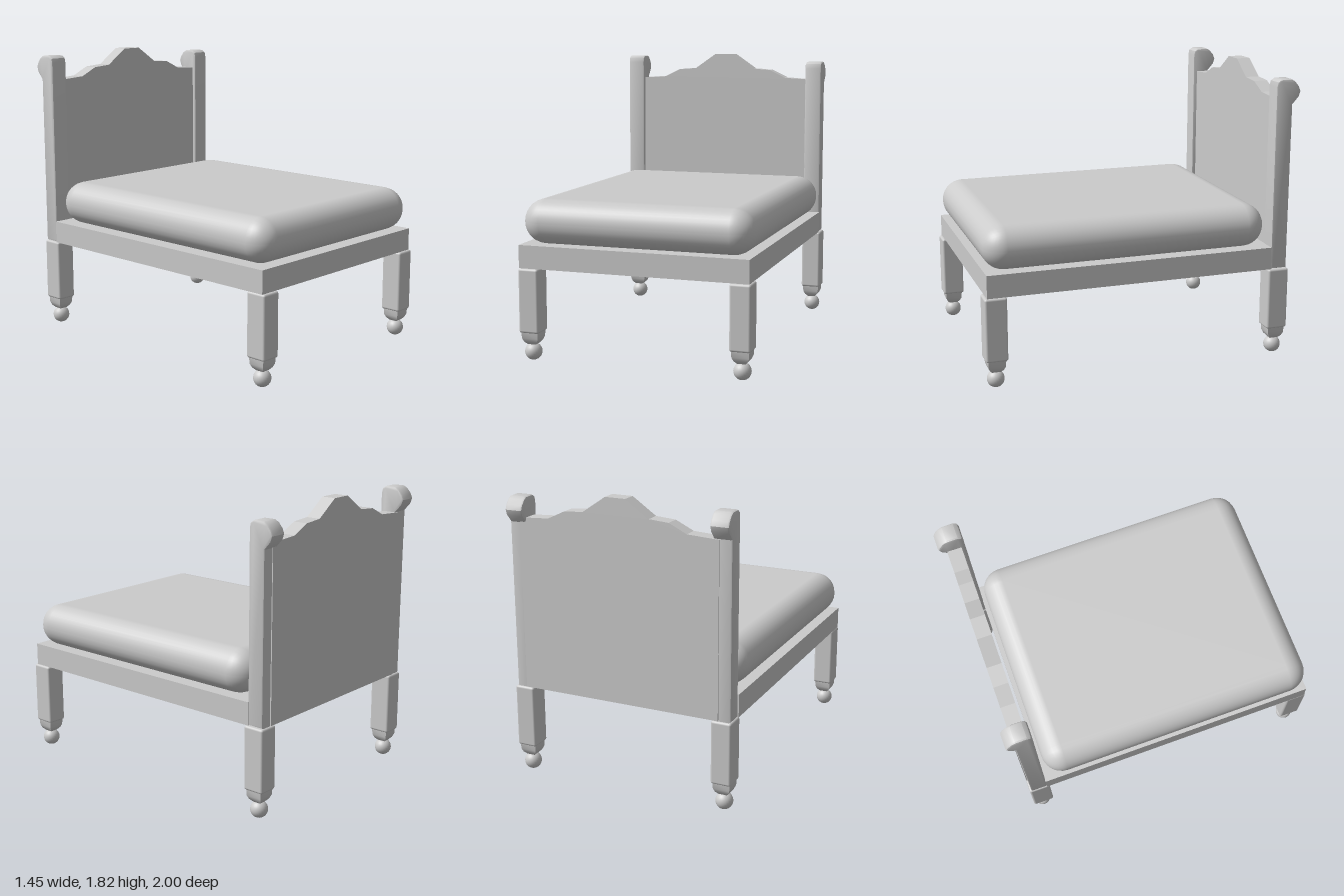
import * as THREE from 'three';
import { toCreasedNormals } from 'three/addons/utils/BufferGeometryUtils.js';
import { RoundedBoxGeometry } from 'three/addons/geometries/RoundedBoxGeometry.js';

const material = new THREE.MeshStandardMaterial({ color: 0xcccccc });

function part(name, geometry, x = 0, y = 0, z = 0) {
  const mesh = new THREE.Mesh(geometry, material);
  mesh.name = name;
  mesh.position.set(x, y, z);
  return mesh;
}

const toShape = (points) => new THREE.Shape(points.map(([x, y]) => new THREE.Vector2(x, y)));

// Square leg with softened edges, a rounded four-sided taper and a ball foot
function createLeg(name, x, z) {
  const leg = new THREE.Group();
  leg.name = name;
  leg.position.set(x, 0, z);
  const taper = [[0, 0.09], [0.026, 0.1], [0.042, 0.117], [0.052, 0.14], [0.055, 0.19]]
    .map(([r, y]) => new THREE.Vector2(r * Math.SQRT2, y));
  const taperGeometry = new THREE.LatheGeometry(taper, 4, Math.PI / 4);
  leg.add(
    part('legBlock', new RoundedBoxGeometry(0.128, 0.395, 0.136, 2, 0.014), 0, 0.3735, 0),
    part('legTaper', toCreasedNormals(taperGeometry, 0.7)),
    part('ballFoot', new THREE.SphereGeometry(0.053, 24, 16), 0, 0.053, 0)
  );
  return leg;
}

// Upright post whose top scrolls backwards; drop lowers the scroll
function createPost(name, x, width, drop) {
  const scroll = [
    [0.945, 1.645], [0.985, 1.69], [0.997, 1.725], [0.985, 1.755],
    [0.96, 1.785], [0.935, 1.8], [0.865, 1.8], [0.842, 1.785], [0.835, 1.755]
  ].map(([z, y]) => [z, y - drop]);
  const bevel = 0.012;
  const geometry = new THREE.ExtrudeGeometry(toShape([[0.835, 0.572], [0.942, 0.572], ...scroll]), {
    depth: width - 2 * bevel, bevelEnabled: true, bevelThickness: bevel,
    bevelSize: bevel, bevelOffset: -bevel, bevelSegments: 2
  });
  geometry.translate(0, 0, -width / 2 + bevel);
  geometry.rotateY(Math.PI / 2); // profile x becomes -z
  return part(name, toCreasedNormals(geometry, 0.6), x, 0, 0);
}

export function createModel() {
  const model = new THREE.Group();
  model.name = 'bed';

  // Legs
  for (const [side, x] of [['Left', 0.659], ['Right', -0.659]]) {
    model.add(createLeg('front' + side + 'Leg', x, 0.93), createLeg('rear' + side + 'Leg', x, -0.885));
  }

  // Frame
  model.add(part('frame', new THREE.BoxGeometry(1.433, 0.141, 1.818), -0.006, 0.6415, 0.072));

  // Cushion
  model.add(part('mattress', new RoundedBoxGeometry(1.445, 0.272, 1.795, 4, 0.134), -0.002, 0.846, 0.087));

  // Posts, one slightly shorter than the other
  model.add(createPost('leftPost', 0.653, 0.114, 0.035), createPost('rightPost', -0.66, 0.116, 0));

  // Headboard with a stepped crest
  const crest = [[0.64, 1.641], [0.446, 1.652], [0.335, 1.705], [0.212, 1.714], [0.065, 1.815]];
  const outline = [
    [-0.64, 0.575], [0.64, 0.575],
    ...crest,
    ...crest.map(([x, y]) => [-x, y]).reverse()
  ];
  const board = new THREE.ExtrudeGeometry(toShape(outline), { depth: 0.09, bevelEnabled: false });
  model.add(part('headboard', board, 0, 0, -0.95));

  return model;
}
